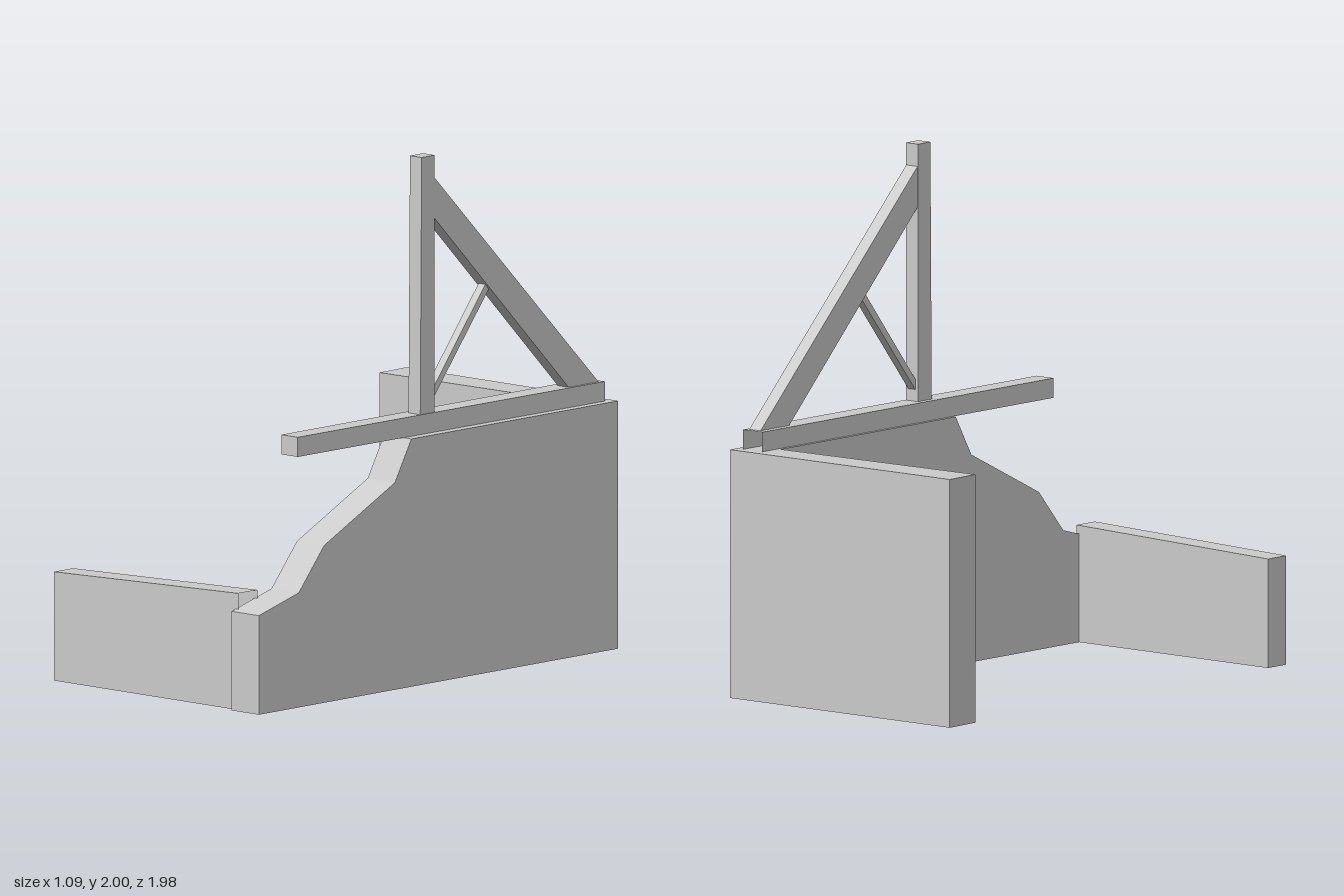
import * as THREE from 'three';

const grey = new THREE.MeshStandardMaterial({ color: 0xcccccc, side: THREE.DoubleSide });
grey.name = 'plain grey';

// Flat-sided prism from an outline in the XY plane, pushed along +z
function prism(points, depth) {
  const shape = new THREE.Shape(points.map(([a, b]) => new THREE.Vector2(a, b)));
  return new THREE.ExtrudeGeometry(shape, { depth, bevelEnabled: false });
}

// Prism from a side outline of [z, y] points, spanning x0 to x1
function sidePrism(points, x0, x1) {
  return prism(points, x1 - x0).rotateY(-Math.PI / 2).translate(x1, 0, 0);
}

// Prism from a plan outline of [x, z] points, spanning y0 to y1
function planPrism(points, y0, y1) {
  return prism(points.map(([x, z]) => [x, -z]), y1 - y0).rotateX(-Math.PI / 2).translate(0, y0, 0);
}

// Removes triangles whose three corners all satisfy a test, leaving an open shell
function openUp(geometry, ...tests) {
  const source = geometry.index ? geometry.toNonIndexed() : geometry;
  const pos = source.attributes.position;
  const kept = [];
  for (let i = 0; i < pos.count; i += 3) {
    const tri = [0, 1, 2].map((k) => new THREE.Vector3().fromBufferAttribute(pos, i + k));
    if (!tests.some((test) => tri.every(test))) tri.forEach((v) => kept.push(v.x, v.y, v.z));
  }
  const result = new THREE.BufferGeometry();
  result.setAttribute('position', new THREE.Float32BufferAttribute(kept, 3));
  result.computeVertexNormals();
  return result;
}

const near = (a, b) => Math.abs(a - b) < 1e-4;
const atGround = (v) => near(v.y, 0);
const atCorner = (v) => near(v.z, -0.86) && v.x > 0.39;

export function createModel() {
  const model = new THREE.Group();
  model.name = 'wallsAndHoist';
  const add = (name, geometry) => {
    const mesh = new THREE.Mesh(geometry, grey);
    mesh.name = name;
    model.add(mesh);
  };

  // Stepped side wall, hollow below and joined to the back wall
  add('sideWall', openUp(sidePrism([
    [-0.86, 0], [0.99, 0], [0.99, 0.378], [0.77, 0.437], [0.63, 0.6],
    [0.24, 0.79], [0.15, 0.945], [-0.86, 0.945],
  ], 0.4, 0.54), atGround, atCorner));

  // Back wall, slightly thicker at its free end
  add('backWall', openUp(planPrism([
    [-0.545, -0.985], [0.54, -0.99], [0.54, -0.86], [0.4, -0.86], [-0.54, -0.832],
  ], 0, 0.945), atGround, atCorner));

  // Low front wall with a sloping top, open where it enters the side wall
  add('frontWall', openUp(
    prism([[-0.535, 0], [0.413, 0], [0.413, 0.445], [-0.535, 0.415]], 0.105).translate(0, 0, 0.862),
    atGround, (v) => near(v.x, 0.413)));

  // Long beam lying on the side wall, open at the back
  add('beam', openUp(planPrism([
    [0.413, 0.73], [0.413, -0.952], [0.507, -0.952], [0.497, 0.73],
  ], 0.945, 1.02), (v) => near(v.z, -0.952)));

  // Upright post and its two supports
  add('post', sidePrism([[-0.025, 1.0], [0.055, 1.0], [0.047, 2], [-0.025, 2]], 0.437, 0.497));
  add('diagonalStrut', sidePrism([[-0.025, 1.915], [-0.025, 1.76], [-0.765, 1.02], [-0.93, 1.02]], 0.439, 0.495));
  add('smallBrace', sidePrism([[-0.025, 1.105], [-0.025, 1.065], [-0.335, 1.447], [-0.318, 1.47]], 0.45, 0.485));

  return model;
}
